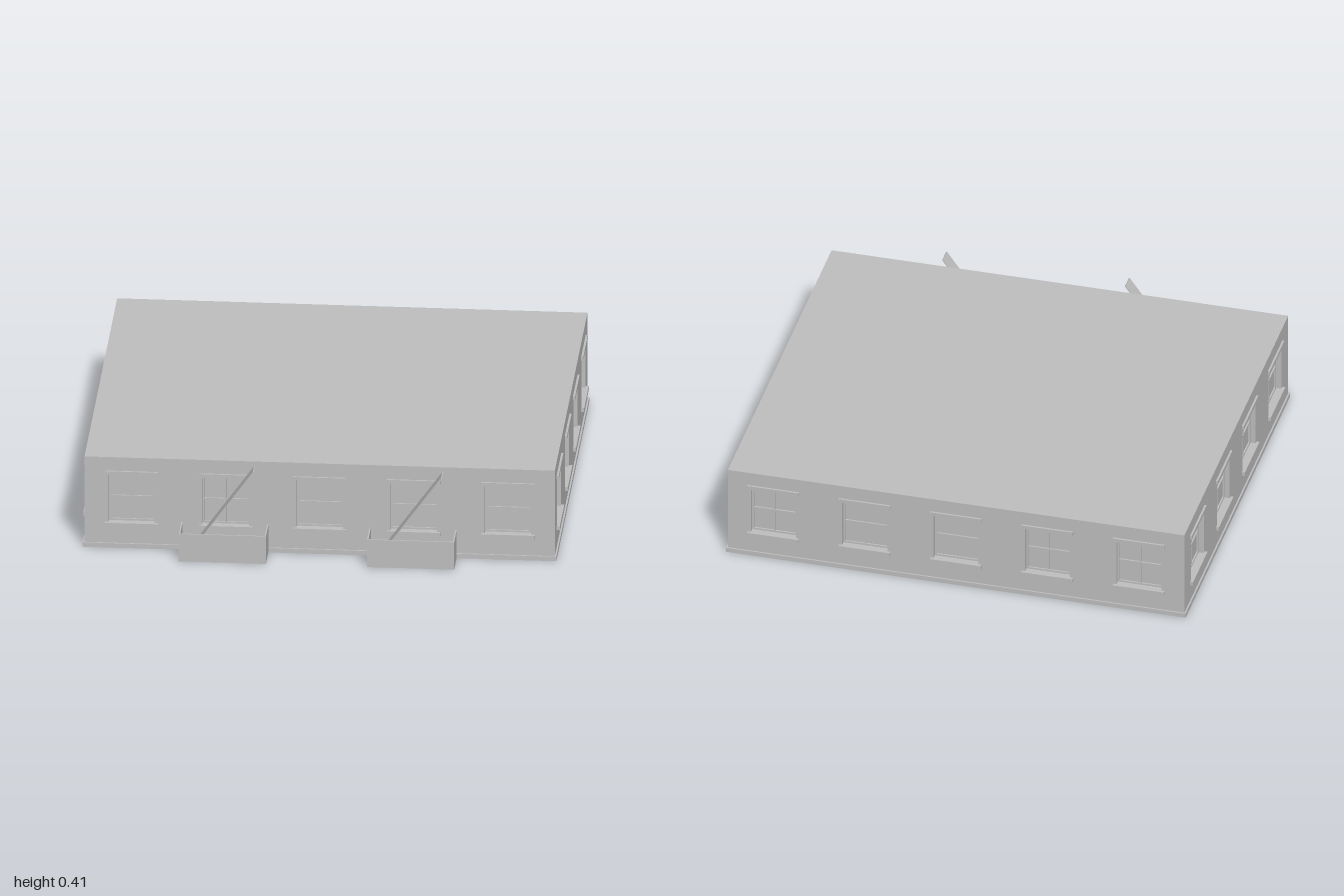
import * as THREE from 'three';

const stone = new THREE.MeshStandardMaterial({ color: 0xc0c0c0 });
stone.name = 'pale grey stone';

// Main block: half width, front and back wall planes, roof height
const HX = 0.987, ZF = 0.803, ZB = -0.92, TOP = 0.407;
const ZC = (ZF + ZB) / 2, LEN = ZF - ZB;
const PLINTH = 0.02, SLAB = 0.008, REVEAL = 0.03;
const SILL = 0.113, HEAD = 0.331;

function box(parent, name, x0, x1, y0, y1, z0, z1) {
  const mesh = new THREE.Mesh(new THREE.BoxGeometry(x1 - x0, y1 - y0, z1 - z0), stone);
  mesh.position.set((x0 + x1) / 2, (y0 + y1) / 2, (z0 + z1) / 2);
  mesh.name = name;
  parent.add(mesh);
  return mesh;
}

// Recessed sash window with glazing bars, lintel and sill; outer wall face at z = 0
function makeWindow(parent, cx, width) {
  const g = new THREE.Group();
  g.name = 'window';
  g.position.x = cx;
  parent.add(g);
  const w = width / 2, mid = (SILL + HEAD) / 2, f = 0.008;
  const back = -REVEAL, front = back + 0.007;
  box(g, 'pane', -w - 0.004, w + 0.004, SILL - 0.004, HEAD + 0.004, back - 0.005, back - 0.0005);
  for (const s of [-1, 1]) {
    const x = s * (w - f / 2);
    box(g, 'frameStile', x - f / 2, x + f / 2, SILL, HEAD, back, front);
  }
  box(g, 'topRail', -w + f, w - f, HEAD - f, HEAD, back, front);
  box(g, 'bottomRail', -w + f, w - f, SILL, SILL + f, back, front);
  box(g, 'meetingRail', -w + f, w - f, mid - 0.004, mid + 0.004, back, front);
  box(g, 'glazingBar', -0.003, 0.003, SILL + f, HEAD - f, back, front - 0.002);
  const o = w + 0.014;
  box(g, 'lintel', -o, o, HEAD - 0.001, HEAD + 0.015, -0.01, 0.009);
  box(g, 'sill', -o, o, SILL - 0.016, SILL + 0.001, -0.005, 0.013);
}

// Pierced wall with its windows
function makeFacade(name, length, centers, width) {
  const g = new THREE.Group();
  g.name = name;
  const h = length / 2;
  const shape = new THREE.Shape();
  shape.moveTo(-h, PLINTH).lineTo(h, PLINTH).lineTo(h, TOP - SLAB).lineTo(-h, TOP - SLAB).closePath();
  for (const c of centers) {
    const a = c - width / 2, b = c + width / 2;
    const hole = new THREE.Path();
    hole.moveTo(a, SILL).lineTo(a, HEAD).lineTo(b, HEAD).lineTo(b, SILL).closePath();
    shape.holes.push(hole);
  }
  const geo = new THREE.ExtrudeGeometry(shape, { depth: REVEAL, bevelEnabled: false });
  geo.translate(0, 0, -REVEAL);
  const wall = new THREE.Mesh(geo, stone);
  wall.name = 'wall';
  g.add(wall);
  for (const c of centers) makeWindow(g, c, width);
  return g;
}

// Open-topped basement well with a sloping stair slab
function makeStairwell(cx) {
  const g = new THREE.Group();
  g.name = 'stairwell';
  g.position.x = cx;
  const w = 0.183, h = 0.124, t = 0.006, z0 = ZF, z1 = 0.936;
  box(g, 'wellFloor', -w, w, 0, 0.005, z0, z1);
  box(g, 'wellFront', -w, w, 0.005, h, z1 - t, z1);
  box(g, 'wellSideRight', -w, -w + t, 0.005, h, z0, z1 - t);
  box(g, 'wellSideLeft', w - t, w, 0.005, h, z0, z1 - t);
  const x0 = -0.156, y0 = 0.008, x1 = 0.128, y1 = 0.405;
  const len = Math.hypot(x1 - x0, y1 - y0);
  const slab = new THREE.Mesh(new THREE.BoxGeometry(len, 0.004, 0.066), stone);
  slab.name = 'stairSlab';
  slab.position.set((x0 + x1) / 2, (y0 + y1) / 2, 0.884);
  slab.rotation.z = Math.atan2(y1 - y0, x1 - x0);
  g.add(slab);
  return g;
}

export function createModel() {
  const model = new THREE.Group();
  model.name = 'building';

  // Plinth and roof close the block
  box(model, 'plinth', -HX - 0.007, HX + 0.007, 0, PLINTH, ZB - 0.007, ZF + 0.007);
  box(model, 'roof', -HX, HX, TOP - SLAB, TOP, ZB, ZF);

  // Front and back, five windows each
  const five = [-0.79, -0.395, 0, 0.395, 0.79];
  const front = makeFacade('frontFacade', HX * 2, five, 0.195);
  front.position.z = ZF;
  const back = makeFacade('backFacade', HX * 2, five, 0.195);
  back.position.z = ZB;
  back.rotation.y = Math.PI;
  model.add(front, back);

  // Sides, four windows each
  const four = [0.585, 0.155, -0.275, -0.705].map((z) => z - ZC);
  for (const s of [-1, 1]) {
    const side = makeFacade(s > 0 ? 'leftFacade' : 'rightFacade', LEN - 2 * REVEAL, four.map((z) => -s * z), 0.213);
    side.position.set(s * HX, 0, ZC);
    side.rotation.y = s * Math.PI / 2;
    model.add(side);
  }

  for (const x of [-0.398, 0.392]) model.add(makeStairwell(x));
  return model;
}
